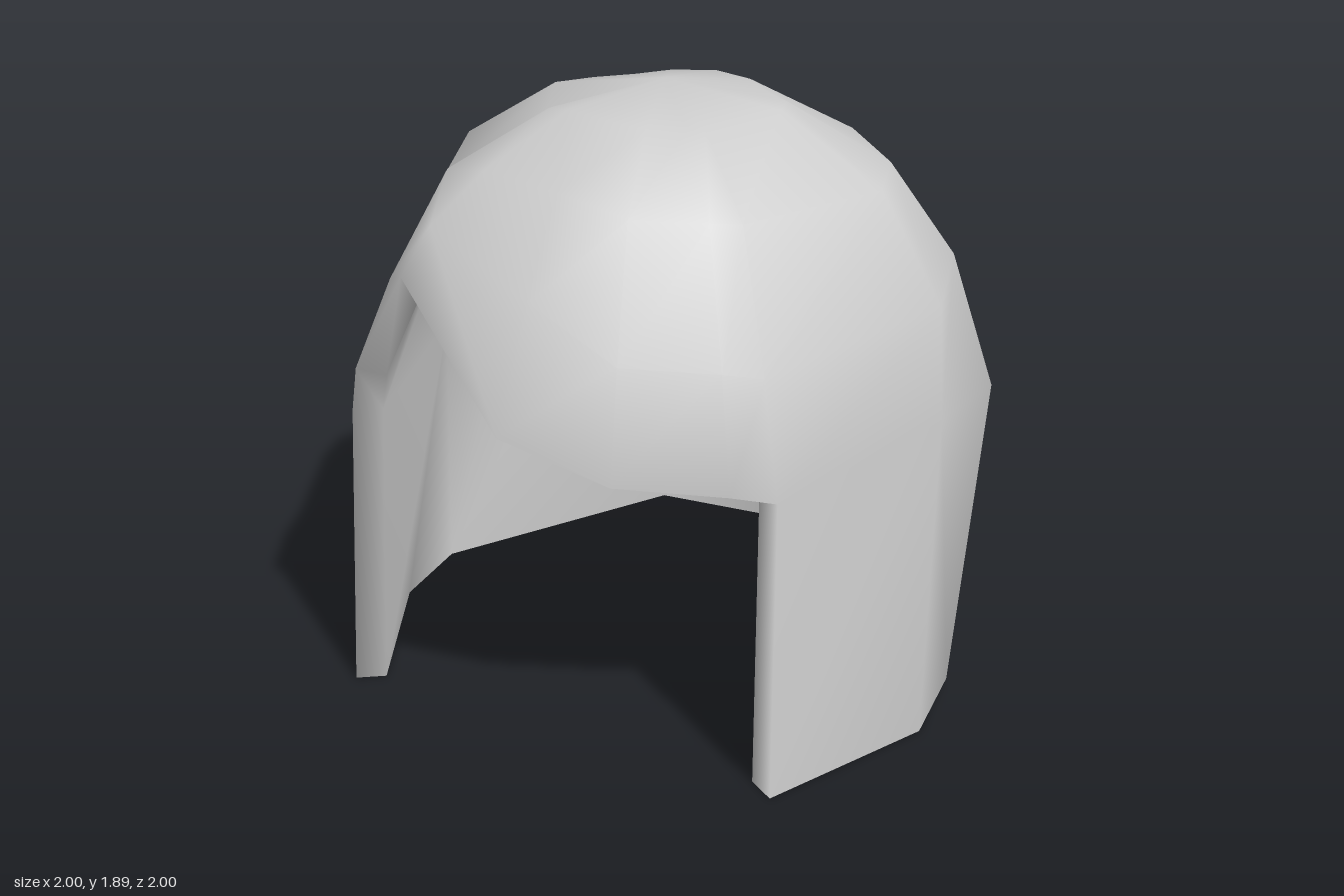
import * as THREE from 'three';
import { mergeVertices } from 'three/addons/utils/BufferGeometryUtils.js';

// Columns run from the front centre round through +x, the back and -x.
// mid: widest point (or the fringe edge); hem: lower end, absent over the face opening.
// s / f: shrink toward the crown and share of the remaining height, per dome row.
const PEAK = { s: [0.82, 0.65, 0.36], f: [0.43, 0.77, 0.94] };
const FRONT = { s: [0.88, 0.69, 0.37], f: [0.34, 0.74, 0.93] };
const NOTCH = { s: [0.89, 0.69, 0.38], f: [0.3, 0.6, 0.9] };
const SIDE = { s: [0.975, 0.76, 0.41], f: [0.38, 0.73, 0.94] };
const REAR_SIDE = { s: [0.86, 0.66, 0.35], f: [0.445, 0.74, 0.93] };
const CORNER = { s: [0.92, 0.62, 0.32], f: [0.35, 0.77, 0.93] };
const REAR = { s: [0.92, 0.67, 0.36], f: [0.4, 0.735, 0.93] };
const BACK = { s: [0.92, 0.71, 0.38], f: [0.42, 0.7, 0.93] };
const CROWN = [0, 1.9, -0.03];

// Points shared by neighbouring columns, where the wall fans into triangles
const SIDE_MID = [0.935, 0.95, -0.03];
const SIDE_HEM = [0.99, 0.04, -0.07];
const BACK_HEM = [0.46, 0.04, -0.9];

// Flap, side and back columns, mirrored for the other side
const half = [
  { mid: [0.71, 0.94, 0.69], hem: [0.73, 0.01, 0.74], ...FRONT },
  { mid: SIDE_MID, hem: [1, 0.01, 0.21], ...SIDE },
  { mid: SIDE_MID, hem: SIDE_HEM, ...SIDE },
  { mid: [0.95, 0.9, -0.48], hem: SIDE_HEM, ...REAR_SIDE },
  { mid: [0.71, 0.98, -0.75], hem: BACK_HEM, ...CORNER },
  { mid: [0.38, 1.04, -0.93], hem: BACK_HEM, ...REAR },
];
const flip = ([x, y, z]) => [-x, y, z];
const columns = [
  { mid: [0, 1.12, 1], ...PEAK },
  { mid: [0.3, 0.99, 0.9], ...FRONT },
  { mid: [0.6, 0.97, 0.77], ...FRONT },
  ...half,
  { mid: [0, 1.08, -1], hem: [0, 0.04, -0.93], ...BACK },
  ...half.map((c) => ({ ...c, mid: flip(c.mid), hem: flip(c.hem) })).reverse(),
  { mid: [-0.65, 1.11, 0.74], ...FRONT },
  { mid: [-0.42, 1.46, 0.81], ...NOTCH },
];

const ROWS = 5; // hem, mid and three dome rows

function columnPoints({ mid, hem, s, f }) {
  const dome = s.map((k, i) => [
    mid[0] * k,
    mid[1] + (CROWN[1] - mid[1]) * f[i],
    CROWN[2] + (mid[2] - CROWN[2]) * k,
  ]);
  return [hem ?? mid, mid, ...dome];
}

// Inner wall: pulled toward the vertical axis and lowered under the crown
function inset([x, y, z], row, open) {
  const drop = row > 1 ? 0.015 * (row - 1) : open && row === 1 ? 0.03 : 0;
  return [x * 0.89, y - drop, CROWN[2] + (z - CROWN[2]) * 0.93];
}

function shellGeometry() {
  const n = columns.length;
  const layer = n * ROWS + 1;
  const outer = [], inner = [], index = [];
  columns.forEach((c) => columnPoints(c).forEach((p, r) => {
    outer.push(...p);
    inner.push(...inset(p, r, !c.hem));
  }));
  outer.push(...CROWN);
  inner.push(0, CROWN[1] - 0.06, CROWN[2]);

  const id = (i, r) => (i % n) * ROWS + r;
  // Adds a triangle to the outer wall and its reverse to the inner wall
  const both = (a, b, c) => index.push(a, b, c, c + layer, b + layer, a + layer);

  for (let i = 0; i < n; i++) {
    const walled = columns[i].hem && columns[(i + 1) % n].hem;
    for (let r = walled ? 0 : 1; r < ROWS - 1; r++) {
      // The wall's diagonals mirror from one side to the other
      if (i < n / 2) {
        both(id(i, r), id(i + 1, r), id(i + 1, r + 1));
        both(id(i, r), id(i + 1, r + 1), id(i, r + 1));
      } else {
        both(id(i, r), id(i + 1, r), id(i, r + 1));
        both(id(i + 1, r), id(i + 1, r + 1), id(i, r + 1));
      }
    }
    both(id(i, ROWS - 1), id(i + 1, ROWS - 1), layer - 1);
  }

  // Rim: along the fringe, down one flap, round the hem and up the other flap
  const rim = [];
  columns.forEach((c, i) => {
    if (!c.hem) return rim.push(id(i, 1));
    if (!columns[(i + n - 1) % n].hem) rim.push(id(i, 1));
    rim.push(id(i, 0));
    if (!columns[(i + 1) % n].hem) rim.push(id(i, 1));
  });
  rim.forEach((a, k) => {
    const b = rim[(k + 1) % rim.length];
    index.push(b, a, a + layer, b, a + layer, b + layer);
  });

  const geometry = new THREE.BufferGeometry();
  geometry.setAttribute('position', new THREE.Float32BufferAttribute([...outer, ...inner], 3));
  geometry.setIndex(index);
  const welded = mergeVertices(geometry);
  welded.computeVertexNormals();
  return welded;
}

export function createModel() {
  const group = new THREE.Group();
  group.name = 'hair';
  const shell = new THREE.Mesh(
    shellGeometry(),
    new THREE.MeshStandardMaterial({ color: 0xcccccc }),
  );
  shell.name = 'hairShell';
  group.add(shell);
  return group;
}
